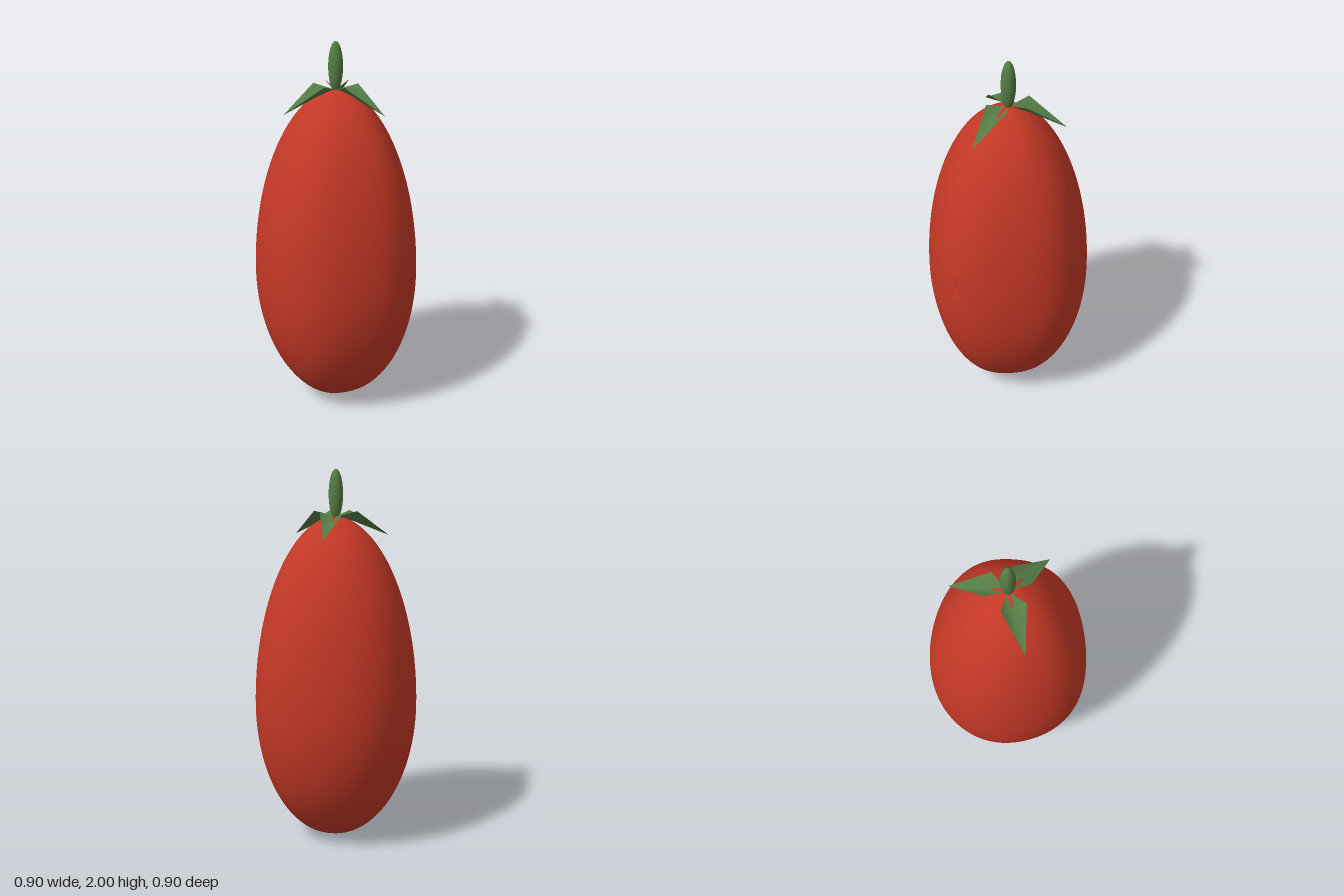
import * as THREE from 'three';
import { mergeVertices } from 'three/addons/utils/BufferGeometryUtils.js';

const red = new THREE.MeshStandardMaterial({ color: 0xc43826 });
red.name = 'ripe red';
const green = new THREE.MeshStandardMaterial({ color: 0x557d46, side: THREE.DoubleSide });
green.name = 'leaf green';

const AXIS_X = -0.007; // the stalk and leaves sit slightly off centre

// Egg-shaped fruit with a gently lobed cross-section and one small pit
function makeFruit() {
  const profile = [];
  const steps = 90, widest = 0.75, top = 1.755;
  for (let i = 0; i <= steps; i++) {
    const t = -Math.cos((i / steps) * Math.PI);
    const radius = 0.452 * Math.pow(Math.max(0, 1 - t * t), t > 0 ? 0.53 : 0.5);
    profile.push(new THREE.Vector2(radius, widest + t * (t > 0 ? top - widest : widest)));
  }
  let geometry = new THREE.LatheGeometry(profile, 120);
  geometry.deleteAttribute('uv');
  geometry.deleteAttribute('normal');
  const p = geometry.attributes.position;
  for (let i = 0; i < p.count; i++) {
    const x = p.getX(i), y = p.getY(i), z = p.getZ(i);
    const a = Math.atan2(z, x);
    // shallow lobes around the fruit
    const lobe = (0.445 + 0.008 * Math.cos(4 * a)
      - 0.004 * (Math.cos(a) - Math.cos(5 * a))) / 0.453;
    // small pit on the +x side
    const d = Math.hypot(z / 0.022, (y - 0.87) / 0.032);
    const pit = x > 0 && d < 1 ? 0.025 * (1 - d * d) : 0;
    p.setXYZ(i, x * lobe - pit, y, z * lobe);
  }
  geometry = mergeVertices(geometry, 1e-5);
  geometry.computeVertexNormals();
  const fruit = new THREE.Mesh(geometry, red);
  fruit.name = 'fruit';
  return fruit;
}

// Diamond leaf folded upward along its midrib
function makeLeaf(index) {
  const geometry = new THREE.BufferGeometry();
  geometry.setAttribute('position', new THREE.Float32BufferAttribute([
    0, 1.75, 0,          // base
    0.097, 1.783, 0.064, // raised edges
    0.297, 1.65, 0,      // tip
    0.097, 1.783, -0.064,
    0.097, 1.728, 0,     // midrib
  ], 3));
  geometry.setIndex([0, 1, 4, 1, 2, 4, 2, 3, 4, 3, 0, 4]);
  geometry.computeVertexNormals();
  const leaf = new THREE.Mesh(geometry, green);
  leaf.name = `leaf${index + 1}`;
  leaf.rotation.y = (index * Math.PI * 2) / 3;
  return leaf;
}

export function createModel() {
  const model = new THREE.Group();
  model.name = 'tomato';
  model.add(makeFruit());

  // Calyx of three leaves
  const calyx = new THREE.Group();
  calyx.name = 'calyx';
  calyx.position.x = AXIS_X;
  for (let i = 0; i < 3; i++) calyx.add(makeLeaf(i));
  model.add(calyx);

  // Spindle-shaped stalk
  const stalk = new THREE.Mesh(new THREE.SphereGeometry(1, 32, 24), green);
  stalk.name = 'stalk';
  stalk.scale.set(0.038, 0.13, 0.038);
  stalk.position.set(AXIS_X, 1.87, 0);
  model.add(stalk);

  return model;
}
